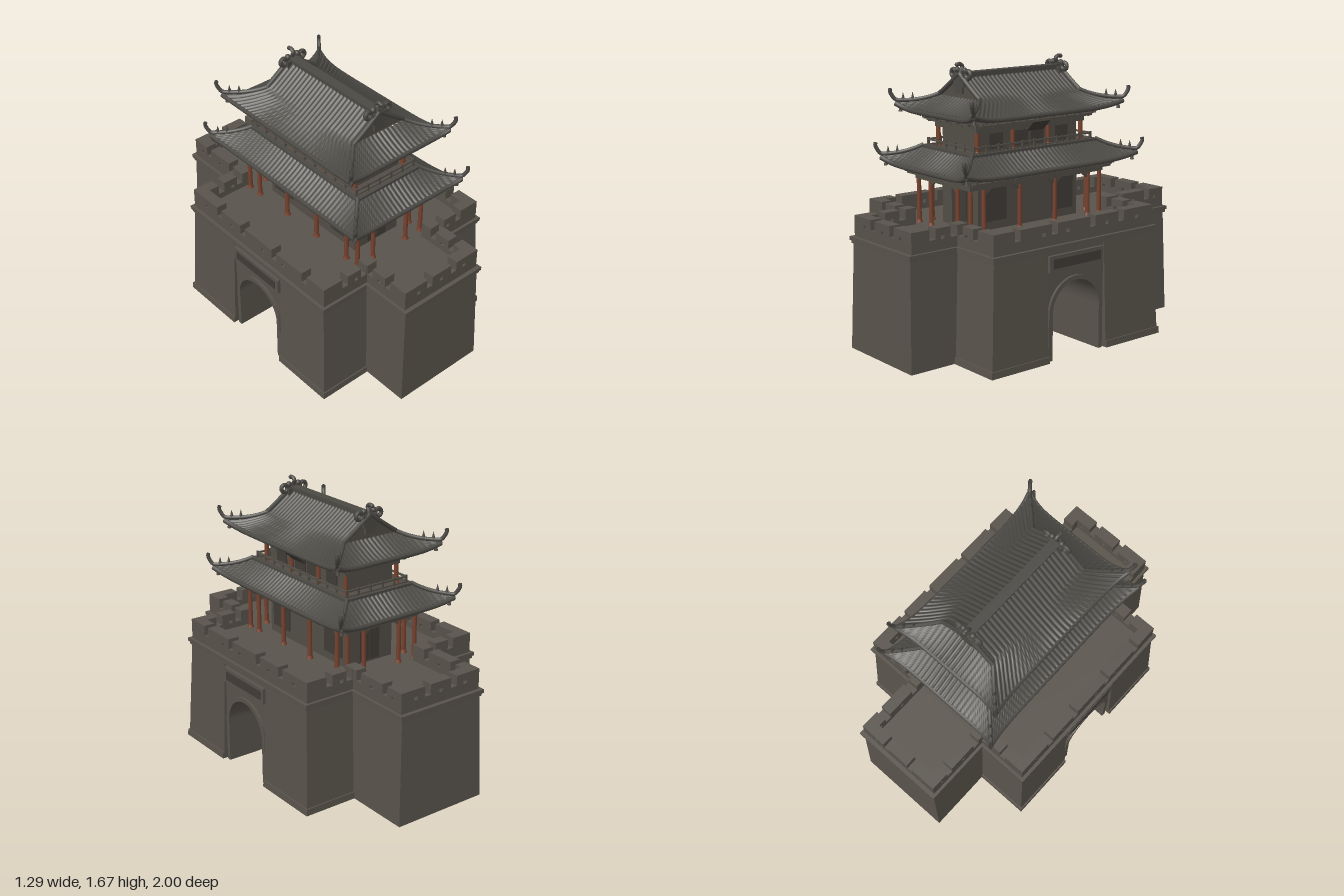
import * as THREE from 'three';

const mat = (name, color) => {
  const m = new THREE.MeshStandardMaterial({ color, side: THREE.DoubleSide });
  m.name = name;
  return m;
};
const ZC = 0.045; // z of the tower's centre

export function createModel() {
  const stone = mat('stone', 0x58534b), tile = mat('roofTile', 0x4b4944), timber = mat('timber', 0x524d46);
  const red = mat('redColumn', 0x76412d), dark = mat('darkBoard', 0x403c37);
  const model = new THREE.Group();
  model.name = 'gateTower';
  const tower = new THREE.Group();
  tower.name = 'tower';
  tower.position.z = ZC;
  model.add(tower);

  const add = (parent, name, geo, material, x = 0, y = 0, z = 0) => {
    const m = new THREE.Mesh(geo, material);
    m.name = name;
    m.position.set(x, y, z);
    parent.add(m);
    return m;
  };
  const box = (parent, name, material, w, h, d, x, y, z) =>
    add(parent, name, new THREE.BoxGeometry(w, h, d), material, x, y, z);
  const extrude = (shape, depth) =>
    new THREE.ExtrudeGeometry(shape, { depth, bevelEnabled: false, curveSegments: 20 });
  const poly = pts => new THREE.Shape(pts.map(p => new THREE.Vector2(...p)));

  // ---------- Stone base ----------
  // Block whose bottom and top rectangles [x0, x1, z0, z1] differ
  const tapered = (name, b, t, h) => {
    const g = new THREE.BoxGeometry(1, 1, 1), p = g.attributes.position;
    for (let i = 0; i < p.count; i++) {
      const r = p.getY(i) > 0 ? t : b;
      p.setXYZ(i, r[p.getX(i) > 0 ? 1 : 0], p.getY(i) > 0 ? h : 0, r[p.getZ(i) > 0 ? 3 : 2]);
    }
    g.computeVertexNormals();
    add(model, name, g, stone);
  };
  tapered('frontMainBlock', [-0.638, 0.638, 0.285, 0.695], [-0.61, 0.61, 0.285, 0.66], 0.65);
  tapered('rearMainBlock', [-0.638, 0.638, -0.585, -0.155], [-0.61, 0.61, -0.55, -0.155], 0.65);
  tapered('frontBastion', [-0.305, 0.305, 0.5, 1], [-0.285, 0.285, 0.5, 0.98], 0.65);
  tapered('rearBastion', [-0.305, 0.305, -1, -0.4], [-0.285, 0.285, -0.98, -0.4], 0.65);
  tapered('frontPlinth', [-0.647, 0.647, 0.285, 0.704], [-0.644, 0.644, 0.285, 0.701], 0.04);
  tapered('rearPlinth', [-0.647, 0.647, -0.594, -0.155], [-0.644, 0.644, -0.591, -0.155], 0.04);

  // Cross-shaped slabs: two cornice courses and the terrace floor
  const slab = (name, o, y, h) => {
    const X = 0.61 + o, B = 0.285 + o, F = 0.66 + o, R = 0.55 + o, E = 0.98 + o;
    const s = poly([[B, -E], [B, -F], [X, -F], [X, R], [B, R], [B, E], [-B, E], [-B, R], [-X, R], [-X, -F], [-B, -F], [-B, -E]]);
    add(model, name, extrude(s, h).rotateX(-Math.PI / 2), stone, 0, y, 0);
  };
  slab('lowerCornice', 0.01, 0.636, 0.016);
  slab('upperCornice', 0.018, 0.654, 0.022);
  slab('terraceFloor', -0.01, 0.62, 0.08);

  // Arched passage through the base, along x
  const R = 0.178, SPRING = 0.272, GZ = 0.065;
  const arch = (outline, r) => {
    const s = poly(outline);
    s.lineTo(r, 0).lineTo(r, SPRING).absarc(0, SPRING, r, 0, Math.PI, false).lineTo(-r, 0);
    return s;
  };
  const alongX = (shape, d) => extrude(shape, d).translate(0, 0, -d / 2).rotateY(-Math.PI / 2);
  add(model, 'passageWall', alongX(arch([[-0.221, 0], [-0.221, 0.65], [0.221, 0.65], [0.221, 0]], R), 1.21), stone, 0, 0, GZ);
  const ring = [[-0.205, 0]];
  for (let i = 0; i <= 20; i++) {
    const a = Math.PI * (1 - i / 20);
    ring.push([0.205 * Math.cos(a), SPRING + 0.205 * Math.sin(a)]);
  }
  ring.push([0.205, 0]);
  for (const s of [-1, 1]) {
    add(model, 'archSurround', alongX(arch(ring, R), 0.02), stone, s * 0.61, 0, GZ);
    box(model, 'plaqueFrame', stone, 0.03, 0.095, 0.41, s * 0.61, 0.57, GZ);
    box(model, 'plaqueBoard', dark, 0.008, 0.055, 0.36, s * 0.625, 0.57, GZ);
  }

  // Double gate inside the passage
  for (const s of [-1, 1]) {
    box(model, 'gateLeaf', timber, 0.03, 0.295, 0.174, 0, 0.148, GZ + s * 0.088);
    for (const f of [-1, 1]) {
      for (const y of [0.02, 0.17, 0.28]) box(model, 'gateRail', timber, 0.012, 0.022, 0.17, f * 0.02, y, GZ + s * 0.088);
      for (const z of [0.015, 0.165]) box(model, 'gateStile', timber, 0.012, 0.29, 0.018, f * 0.02, 0.148, GZ + s * z);
      add(model, 'gateKnocker', new THREE.TorusGeometry(0.02, 0.005, 6, 16).rotateY(Math.PI / 2), dark, f * 0.03, 0.15, GZ + s * 0.012);
    }
  }

  // Crenellated parapet from a to b with notch centres and peepholes
  const T = 0.07;
  const parapet = (axis, at, a, b, notches, holes) => {
    const pts = [[a, 0.67], [b, 0.67], [b, 0.8]];
    for (const n of [...notches].sort((p, q) => q - p))
      pts.push([n + 0.021, 0.8], [n + 0.021, 0.738], [n - 0.021, 0.738], [n - 0.021, 0.8]);
    pts.push([a, 0.8]);
    const s = poly(pts);
    for (const h of holes)
      s.holes.push(new THREE.Path([[-1, -1], [-1, 1], [1, 1], [1, -1]].map(([u, v]) => new THREE.Vector2(h + u * 0.012, 0.746 + v * 0.01))));
    const g = extrude(s, T);
    if (axis === 'x') add(model, 'parapet', g, stone, 0, 0, at > 0 ? at - T : at);
    else add(model, 'parapet', g.rotateY(-Math.PI / 2), stone, at > 0 ? at : at + T, 0, 0);
  };
  for (const z of [0.972, -0.972]) parapet('x', z, -0.285, 0.285, [-0.095, 0.095], [-0.18, 0, 0.18]);
  for (const z of [0.66, -0.55]) {
    parapet('x', z, 0.215, 0.607, [0.31, 0.45], [0.365]);
    parapet('x', z, -0.607, -0.215, [-0.31, -0.45], [-0.365]);
  }
  for (const s of [-1, 1]) {
    parapet('z', s * 0.285, 0.59, 0.972, [0.685, 0.83], [0.76, 0.935]);
    parapet('z', s * 0.285, -0.972, -0.48, [-0.83, -0.6], [-0.9, -0.71]);
    parapet('z', s * 0.607, -0.55, 0.66, [0.49, 0.22, -0.07, -0.295], [0.61, 0.3, 0.12, -0.18, -0.42]);
  }

  // ---------- Tower storeys ----------
  const column = (x, z, y0, y1) => {
    add(tower, 'column', new THREE.CylinderGeometry(0.013, 0.014, y1 - y0, 12), red, x, (y0 + y1) / 2, z);
    add(tower, 'columnFoot', new THREE.CylinderGeometry(0.015, 0.021, 0.018, 12), red, x, y0 + 0.009, z);
  };
  const frame = (name, material, x, z, y, h, t) => { // rectangular ring of beams
    for (const s of [-1, 1]) {
      box(tower, name, material, 2 * x + t, h, t, 0, y, s * z);
      box(tower, name, material, t, h, 2 * z + t, s * x, y, 0);
    }
  };
  box(tower, 'lowerHall', timber, 0.34, 0.38, 0.76, 0, 0.87, 0);
  box(tower, 'upperHall', timber, 0.34, 0.24, 0.75, 0, 1.27, 0);
  box(tower, 'balconyFloor', timber, 0.47, 0.035, 0.93, 0, 1.142, 0);
  for (const sx of [-1, 1]) for (const sz of [-1, 1]) {
    for (const z of [0.495, 0.4, 0.135]) column(sx * 0.25, sz * z, 0.7, 0.99);
    column(sx * 0.13, sz * 0.495, 0.7, 0.99);
    for (const z of [0.395, 0.135]) column(sx * 0.185, sz * z, 1.155, 1.31);
    // Front and rear door leaves, side window panels
    box(tower, 'doorLeaf', dark, 0.07, 0.23, 0.008, sx * 0.037, 0.83, sz * 0.383);
    box(tower, 'sidePanel', dark, 0.008, 0.2, 0.17, sx * 0.173, 0.85, sz * 0.26);
    for (const z of [0.06, 0.25]) box(tower, 'upperWindow', dark, 0.008, 0.09, 0.1, sx * 0.173, 1.22, sz * z);
    // Triangular corbels where columns meet the beam
    for (const [z, d] of [[0.4, -1], [0.135, 1], [0.135, -1]])
      add(tower, 'corbel', extrude(poly([[0, 0], [d * 0.06, 0], [0, -0.04]]), 0.012).rotateY(-Math.PI / 2), timber, sx * 0.25 + 0.006, 0.97, sz * z).scale.z = sz;
    add(tower, 'corbel', extrude(poly([[0, 0], [-sx * 0.05, 0], [0, -0.04]]), 0.012), timber, sx * 0.13, 0.97, sz * 0.495 - 0.006);
  }
  frame('lowerBeam', timber, 0.25, 0.495, 0.982, 0.028, 0.03);
  frame('lowerPurlin', timber, 0.29, 0.53, 1.005, 0.016, 0.024);
  frame('upperBeam', timber, 0.185, 0.395, 1.29, 0.026, 0.03);
  frame('upperPurlin', timber, 0.225, 0.43, 1.318, 0.016, 0.024);

  // Balcony railing
  frame('topRail', timber, 0.22, 0.443, 1.2, 0.01, 0.012);
  frame('bottomRail', timber, 0.22, 0.443, 1.168, 0.008, 0.009);
  for (const s of [-1, 1]) {
    for (let i = 0; i <= 10; i++) box(tower, 'railPost', timber, 0.012, 0.06, 0.012, s * 0.22, 1.18, -0.443 + i * 0.0886);
    for (let i = 1; i < 5; i++) box(tower, 'railPost', timber, 0.012, 0.06, 0.012, -0.22 + i * 0.088, 1.18, s * 0.443);
    // Slanted name boards under the upper eaves
    box(tower, 'hangingBoard', dark, 0.012, 0.085, 0.13, s * 0.255, 1.297, 0).rotation.z = -s * 0.8;
  }

  // Stepped bracket clusters under the eaves
  const brackets = (x, z, y, nx, nz) => {
    const cluster = (px, pz, angle) => {
      const g = new THREE.Group();
      g.name = 'bracketCluster';
      for (let k = 0; k < 3; k++) {
        box(g, 'bracketArm', timber, 0.016, 0.014, 0.05 + k * 0.035, 0, y + k * 0.019, 0.008 + k * 0.016);
        box(g, 'bracketCross', timber, 0.035 + k * 0.015, 0.012, 0.014, 0, y + k * 0.019 + 0.004, 0.015 + k * 0.018);
      }
      g.position.set(px, 0, pz);
      g.rotation.y = angle;
      tower.add(g);
    };
    for (const s of [-1, 1]) {
      for (let i = 0; i < nx; i++) cluster(x * (-1 + 2 * i / (nx - 1)), s * z, s > 0 ? 0 : Math.PI);
      for (let i = 0; i < nz; i++) cluster(s * x, z * (-1 + 2 * i / (nz - 1)), s * Math.PI / 2);
      for (const c of [-1, 1]) cluster(s * x, c * z, Math.atan2(s, c));
    }
  };
  brackets(0.27, 0.51, 1.005, 6, 11);
  brackets(0.205, 0.415, 1.315, 5, 9);

  // ---------- Curved tiled roofs ----------
  const roof = (name, r) => {
    // Point on the roof: s across the panel (-1..1), v up the slope (0 at the eave)
    const point = (side, sign, s, v, ribs) => {
      const x = r.ex - v * r.run, z = r.ez - Math.min(v, r.hip) * r.run;
      const half = side ? z : x, out = side ? x : r.ez - v * r.run;
      const c = Math.abs(s) ** 7 * Math.max(0, 1 - v / r.hip) ** 2 * 0.03;
      const y = r.y + r.rise * v ** r.curve + c * 1.2 + (ribs ? 0.009 * Math.abs(Math.cos(Math.PI * s * half / 0.03)) : 0);
      const a = s * half + Math.sign(s) * c, o = sign * (out + c);
      return side ? new THREE.Vector3(o, y, a) : new THREE.Vector3(a, y, o);
    };
    const sheet = (fn, nu, nv) => {
      const g = new THREE.PlaneGeometry(1, 1, nu, nv), p = g.attributes.position;
      for (let i = 0; i < p.count; i++) {
        const q = fn(p.getX(i) * 2, p.getY(i) + 0.5);
        p.setXYZ(i, q.x, q.y, q.z);
      }
      g.computeVertexNormals();
      return g;
    };
    const tube = (n, pts, rad) => add(tower, n, new THREE.TubeGeometry(new THREE.CatmullRomCurve3(pts), pts.length * 3, rad, 7), tile);
    for (const side of [0, 1]) for (const sign of [-1, 1]) {
      const top = side ? r.top : r.hip;
      add(tower, name + 'Tiles', sheet((s, v) => point(side, sign, s, v * top, true), side ? 240 : 160, 10), tile);
      add(tower, name + 'Soffit', sheet((s, v) => {
        const q = point(side, sign, s, v * r.hip, false);
        q.y = q.y - 0.024 - v * 0.02;
        return q;
      }, 24, 6), timber);
      const edge = [];
      for (let i = 0; i <= 24; i++) edge.push(point(side, sign, -1 + i / 12, 0, false).add(new THREE.Vector3(0, -0.01, 0)));
      tube(name + 'EaveEdge', edge, 0.015);
    }
    // Hip ridges ending in upturned horns, with small figures and a bell
    for (const sx of [-1, 1]) for (const sz of [-1, 1]) {
      const pts = [];
      for (let i = 0; i <= 6; i++) pts.push(point(1, sx, sz, r.hip * (1 - i / 6), false).add(new THREE.Vector3(0, 0.014, 0)));
      const c = pts[6];
      for (const v of [0.35, 0.15]) {
        const q = point(1, sx, sz, r.hip * v, false);
        add(tower, 'ridgeFigure', new THREE.ConeGeometry(0.012, 0.045, 6), tile, q.x, q.y + 0.04, q.z);
      }
      const horn = [[0.012, 0.022], [0.02, 0.05], [0.018, 0.065]].map(([o, h]) => new THREE.Vector3(c.x + sx * o, c.y + h, c.z + sz * o * 1.3));
      tube('hipRidge', [...pts, ...horn], 0.012);
      add(tower, 'eaveBell', new THREE.CylinderGeometry(0.006, 0.012, 0.03, 8), tile, c.x - sx * 0.02, c.y - 0.055, c.z - sz * 0.02);
      if (r.top > r.hip) { // verge ridge along the gable
        const verge = [];
        for (let i = 0; i <= 6; i++) verge.push(point(1, sx, sz, r.hip + (r.top - r.hip) * i / 6, false).add(new THREE.Vector3(0, 0.014, 0)));
        tube('vergeRidge', verge, 0.014);
      }
    }
    return point;
  };
  roof('lowerRoof', { ex: 0.385, ez: 0.62, run: 0.15, hip: 1, top: 1, y: 1.06, rise: 0.095, curve: 1.15 });
  frame('lowerRoofTopRidge', tile, 0.236, 0.47, 1.158, 0.02, 0.022);
  const HIP = 0.46;
  const upper = roof('upperRoof', { ex: 0.345, ez: 0.535, run: 0.34, hip: HIP, top: 1, y: 1.378, rise: 0.205, curve: 1.25 });

  // Gable walls, main ridge and its scrolled end ornaments
  box(tower, 'mainRidge', tile, 0.045, 0.045, 0.75, 0, 1.582, 0);
  box(tower, 'mainRidgeCap', tile, 0.06, 0.012, 0.76, 0, 1.6, 0);
  for (const s of [-1, 1]) {
    const tri = [];
    for (const sx of [-1, 1]) for (let i = 0; i <= 5; i++) {
      const q = upper(1, sx, 1, HIP + (1 - HIP) * (sx < 0 ? i : 5 - i) / 5, false);
      tri.push([q.x, q.y]);
    }
    add(tower, 'gableWall', extrude(poly(tri), 0.01), timber, 0, 0, s * 0.365 - 0.005);
    frameBoard(s);
  }
  function frameBoard(s) {
    const z = s * 0.365;
    box(tower, 'ridgeEndBlock', tile, 0.1, 0.07, 0.04, 0, 1.56, z);
    box(tower, 'gablePendant', tile, 0.07, 0.06, 0.016, 0, 1.515, s * 0.378);
    for (const x of [-1, 1]) {
      add(tower, 'ridgeScroll', new THREE.TorusGeometry(0.022, 0.013, 8, 16), tile, x * 0.068, 1.597, z);
      add(tower, 'ridgeScrollBud', new THREE.SphereGeometry(0.018, 10, 8), tile, x * 0.035, 1.618, z);
    }
    const horn = [[0.345, 1.58], [0.355, 1.62], [0.365, 1.64], [0.345, 1.655], [0.325, 1.65]].reverse();
    const curve = new THREE.CatmullRomCurve3(horn.map(([a, y]) => new THREE.Vector3(0, y, s * (0.72 - a))));
    add(tower, 'ridgeHorn', new THREE.TubeGeometry(curve, 16, 0.012, 8), tile);
    add(tower, 'ridgeHornTip', new THREE.SphereGeometry(0.013, 10, 8), tile, 0, 1.652, s * 0.394);
  }
  return model;
}
